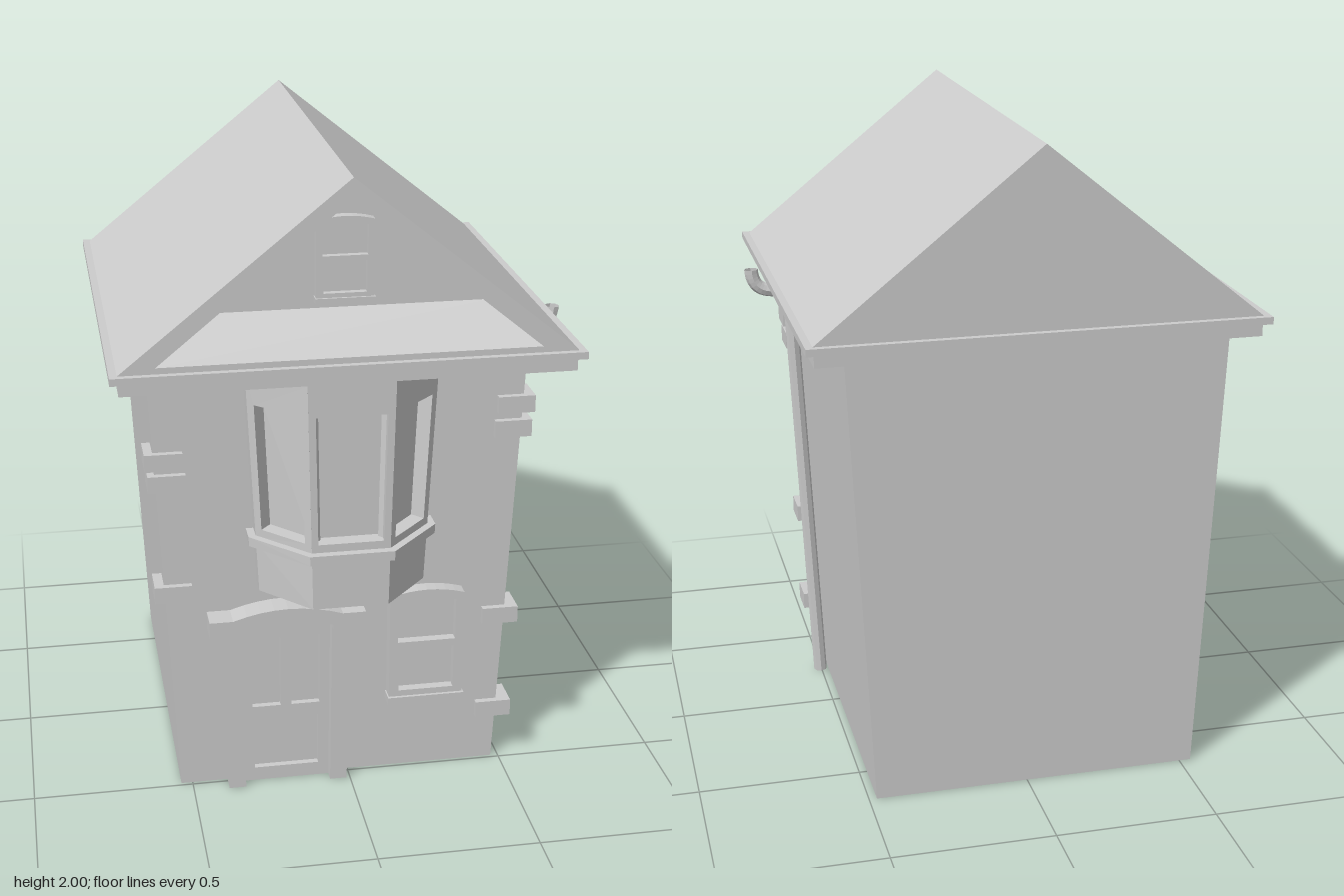
import * as THREE from 'three';

const CX = -0.03; // centre line of the house
const FRONT = 0.49; // z of the front wall
const mat = new THREE.MeshStandardMaterial({ color: 0xcccccc, flatShading: true, side: THREE.DoubleSide });

function add(parent, name, geo, x = 0, y = 0, z = 0) {
  const m = new THREE.Mesh(geo, mat);
  m.name = name;
  m.position.set(x, y, z);
  parent.add(m);
  return m;
}

// box given by its limits
function block(parent, name, x0, x1, y0, y1, z0, z1) {
  return add(parent, name, new THREE.BoxGeometry(x1 - x0, y1 - y0, z1 - z0),
    (x0 + x1) / 2, (y0 + y1) / 2, (z0 + z1) / 2);
}

const poly = (pts) => new THREE.Shape(pts.map(([x, y]) => new THREE.Vector2(x, y)));
const rect = (x0, x1, y0, y1) => poly([[x0, y0], [x1, y0], [x1, y1], [x0, y1]]);

// rectangle with an arched top
function arched(x0, x1, y0, y1, rise) {
  const s = new THREE.Shape();
  s.moveTo(x0, y0);
  s.lineTo(x1, y0);
  s.lineTo(x1, y1);
  s.quadraticCurveTo((x0 + x1) / 2, y1 + rise * 2, x0, y1);
  return s;
}

function extrude(shape, depth, holes = []) {
  shape.holes.push(...holes);
  return new THREE.ExtrudeGeometry(shape, { depth, bevelEnabled: false, curveSegments: 8 });
}

// narrow a geometry in x from y1 (full width) down to y0
function taper(geo, y0, y1, k) {
  const p = geo.attributes.position;
  for (let i = 0; i < p.count; i++) {
    const t = (p.getY(i) - y0) / (y1 - y0);
    p.setX(i, p.getX(i) * (k + (1 - k) * t));
  }
  geo.computeVertexNormals();
  return geo;
}

// sash window with sill, standing on y = 0
function sashWindow(name) {
  const g = new THREE.Group();
  g.name = name;
  add(g, 'windowFrame', extrude(arched(-0.118, 0.118, 0.02, 0.375, 0.018), 0.045, [
    rect(-0.088, 0.088, 0.045, 0.19),
    arched(-0.092, 0.092, 0.215, 0.352, 0.012),
  ]));
  block(g, 'windowPane', -0.1, 0.1, 0.03, 0.365, 0, 0.015);
  block(g, 'windowSill', -0.122, 0.122, 0, 0.025, 0, 0.055);
  return g;
}

function bayWindow() {
  const g = new THREE.Group();
  g.name = 'bayWindow';
  g.position.x = CX;
  const lean = (geo) => taper(geo, 0.69, 1.4, 0.88);
  // half plan [x, z], mirrored and raised from y0 to y1
  const prism = (name, half, y0, y1) => {
    const pts = [...half, ...half.map(([x, z]) => [-x, z]).reverse()];
    const geo = extrude(poly(pts.map(([x, z]) => [x, -z])), y1 - y0);
    geo.rotateX(-Math.PI / 2).translate(0, y0, 0);
    add(g, name, lean(geo));
  };
  prism('bayApron', [[0.29, 0.48], [0.29, 0.545], [0.13, 0.70]], 0.69, 0.85);
  prism('bayLedge', [[0.315, 0.48], [0.315, 0.555], [0.14, 0.725]], 0.845, 0.875);
  prism('bayGlass', [[0.27, 0.48], [0.27, 0.495], [0.115, 0.65]], 0.87, 1.4);
  // framed openings: front, then the two angled sides
  const panel = (w, margin) => extrude(rect(-w / 2, w / 2, 0.87, 1.4), 0.05,
    [rect(-w / 2 + margin, w / 2 - margin, 0.9, 1.3)]).translate(0, 0, -0.05);
  add(g, 'bayFrontFrame', lean(panel(0.26, 0.022).translate(0, 0, 0.70)));
  for (const s of [-1, 1]) {
    const side = panel(0.223, 0.026);
    side.rotateY(s * Math.atan2(0.155, 0.16)).translate(s * 0.21, 0, 0.6225);
    add(g, 'baySideFrame', lean(side));
    const cheek = new THREE.BoxGeometry(0.02, 0.53, 0.065).translate(s * 0.28, 1.135, 0.5125);
    add(g, 'bayCheek', lean(cheek));
  }
  return g;
}

function door() {
  const g = new THREE.Group();
  g.name = 'frontDoor';
  g.position.set(-0.2, 0, FRONT);
  add(g, 'doorLeaf', extrude(arched(-0.14, 0.14, 0, 0.565, 0.018), 0.02, [
    rect(-0.107, -0.017, 0.265, 0.505),
    rect(0.017, 0.107, 0.265, 0.505),
    rect(-0.102, 0.102, 0.045, 0.22),
  ]));
  for (const s of [-1, 1]) {
    const jamb = poly([[s * 0.135, 0], [s * 0.188, 0], [s * 0.205, 0.56], [s * 0.14, 0.56]]);
    add(g, 'doorJamb', extrude(jamb, 0.055));
  }
  // arched lintel
  const l = new THREE.Shape();
  l.moveTo(-0.242, 0.548);
  l.lineTo(-0.14, 0.548);
  l.lineTo(-0.14, 0.565);
  l.quadraticCurveTo(0, 0.602, 0.14, 0.565);
  l.lineTo(0.14, 0.548);
  l.lineTo(0.242, 0.548);
  l.lineTo(0.242, 0.602);
  l.lineTo(0.17, 0.602);
  l.quadraticCurveTo(0, 0.66, -0.17, 0.602);
  l.lineTo(-0.242, 0.602);
  add(g, 'doorLintel', extrude(l, 0.08));
  return g;
}

function roof() {
  const g = new THREE.Group();
  g.name = 'roof';
  g.position.x = CX;
  const gable = () => poly([[-0.67, 1.46], [0.67, 1.46], [0, 2]]);
  block(g, 'lowerCornice', -0.665, 0.665, 1.4, 1.442, -0.7, 0.7);
  block(g, 'upperCornice', -0.69, 0.69, 1.44, 1.462, -0.72, 0.72);
  add(g, 'roofBody', extrude(gable(), 1.25), 0, 0, -0.7);
  add(g, 'gableSurround', extrude(gable(), 0.15, [poly([[-0.56, 1.48], [0.56, 1.48], [0, 1.94]])]), 0, 0, 0.55);
  // sloping shelf at the foot of the recessed gable
  const shelf = new THREE.BufferGeometry();
  shelf.setAttribute('position', new THREE.Float32BufferAttribute([
    -0.56, 1.48, 0.7, 0.56, 1.48, 0.7, 0.435, 1.583, 0.55, -0.435, 1.583, 0.55], 3));
  shelf.setIndex([0, 1, 2, 0, 2, 3]);
  shelf.computeVertexNormals();
  add(g, 'gableShelf', shelf);
  const attic = sashWindow('atticWindow');
  attic.scale.set(0.72, 0.65, 0.7);
  attic.position.set(0, 1.605, 0.55);
  g.add(attic);
  return g;
}

export function createModel() {
  const house = new THREE.Group();
  house.name = 'townHouse';

  // walls, wider at the top
  const walls = new THREE.BoxGeometry(1.15, 1.4, 1.16).translate(0, 0.7, -0.09).toNonIndexed();
  add(house, 'walls', taper(walls, 0, 1.4, 0.88), CX);

  house.add(roof(), bayWindow(), door());
  const lower = sashWindow('groundFloorWindow');
  lower.position.set(0.243, 0.25, FRONT);
  house.add(lower);

  // corner stones: [outer x, centre y], inner end towards the middle
  for (const [x, y] of [[0.57, 1.23], [0.562, 1.152], [0.542, 0.52], [0.53, 0.185],
    [-0.618, 1.113], [-0.61, 1.043], [-0.6, 0.677]]) {
    const inner = x - Math.sign(x) * 0.114;
    block(house, 'cornerStone', Math.min(x, inner), Math.max(x, inner), y - 0.027, y + 0.027, 0.405, 0.51);
  }

  // drainpipe following the right wall, curling out to the eaves
  const path = new THREE.CurvePath();
  const v = (x, y) => new THREE.Vector3(x, y, 0.24);
  path.add(new THREE.LineCurve3(v(0.503, 0), v(0.565, 1.3)));
  path.add(new THREE.QuadraticBezierCurve3(v(0.565, 1.3), v(0.568, 1.37), v(0.61, 1.376)));
  path.add(new THREE.LineCurve3(v(0.61, 1.376), v(0.64, 1.38)));
  path.add(new THREE.QuadraticBezierCurve3(v(0.64, 1.38), v(0.688, 1.39), v(0.69, 1.45)));
  add(house, 'drainpipe', new THREE.TubeGeometry(path, 120, 0.022, 8));
  return house;
}
